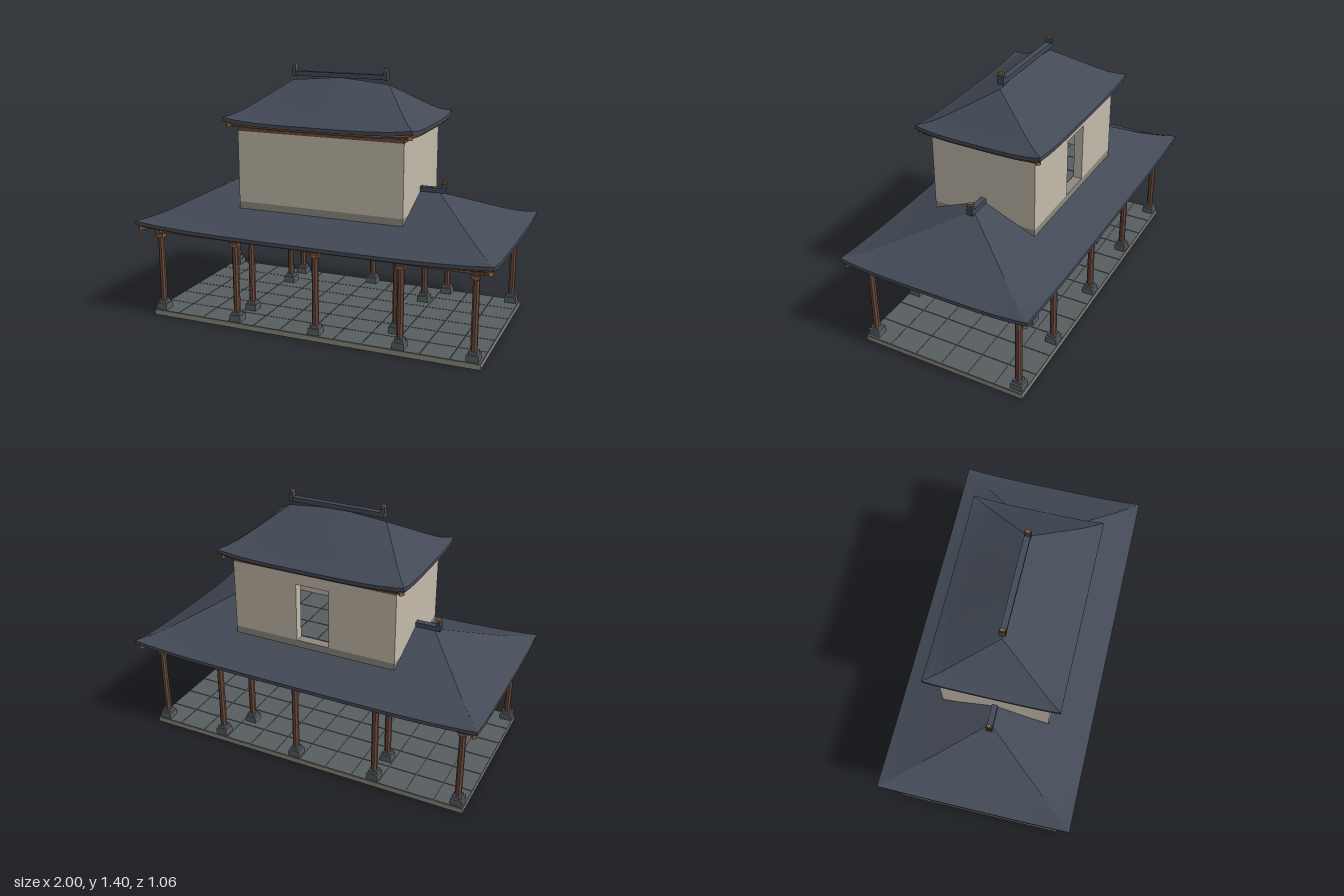
import * as THREE from 'three';

const mat = (name, color, side = THREE.FrontSide) => {
  const m = new THREE.MeshStandardMaterial({ color, side, flatShading: true });
  m.name = name;
  return m;
};

export function createModel() {
  const roofMat = mat('slateRoof', 0x434a56, THREE.DoubleSide);
  const wood = mat('redWood', 0x6b4a3d, THREE.DoubleSide);
  const gold = mat('ochreTrim', 0x8a6234, THREE.DoubleSide);
  const plaster = mat('plaster', 0xc4bbab);
  const stone = mat('paleStone', 0x8c8a80);
  const tile = mat('floorTile', 0x585f61);
  const footing = mat('footingStone', 0x5a6064);

  const model = new THREE.Group();
  model.name = 'pavilion';
  const group = (name) => {
    const g = new THREE.Group();
    g.name = name;
    model.add(g);
    return g;
  };
  const add = (parent, name, geo, material) => {
    const m = new THREE.Mesh(geo, material);
    m.name = name;
    parent.add(m);
    return m;
  };
  // Box given by its min and max on each axis
  const box = (parent, name, material, x0, x1, y0, y1, z0, z1) => {
    const m = add(parent, name, new THREE.BoxGeometry(x1 - x0, y1 - y0, z1 - z0), material);
    m.position.set((x0 + x1) / 2, (y0 + y1) / 2, (z0 + z1) / 2);
    return m;
  };
  // Four beams around a rectangle
  const frame = (parent, name, material, hx, hz, w, y0, y1, over) => {
    for (const s of [-1, 1]) {
      box(parent, name, material, -hx - over, hx + over, y0, y1, s * hz - w, s * hz + w);
      box(parent, name, material, s * hx - w, s * hx + w, y0, y1, -hz - over, hz + over);
    }
  };
  // Surface from a rule fn(u, v) -> [x, y, z], u and v from 0 to 1
  const patch = (fn, nu, nv) => {
    const pos = [], idx = [];
    for (let j = 0; j <= nv; j++) for (let i = 0; i <= nu; i++) pos.push(...fn(i / nu, j / nv));
    for (let j = 0; j < nv; j++) for (let i = 0; i < nu; i++) {
      const a = j * (nu + 1) + i, b = a + 1, c = a + nu + 1, d = c + 1;
      idx.push(a, b, d, a, d, c);
    }
    const g = new THREE.BufferGeometry();
    g.setAttribute('position', new THREE.Float32BufferAttribute(pos, 3));
    g.setIndex(idx);
    const flat = g.toNonIndexed();
    flat.computeVertexNormals();
    return flat;
  };

  // Paved terrace
  const terrace = group('terrace');
  box(terrace, 'terraceSlab', stone, -0.94, 0.94, 0, 0.027, -0.47, 0.47);
  const paving = (parent, hx, hz, nx, nz, y) => {
    const w = 2 * hx / nx, d = 2 * hz / nz, gap = 0.002;
    for (let i = 0; i < nx; i++) for (let j = 0; j < nz; j++) {
      const x = -hx + i * w, z = -hz + j * d;
      box(parent, 'floorTile', tile, x + gap, x + w - gap, y, y + 0.004, z + gap, z + d - gap);
    }
  };
  paving(terrace, 0.94, 0.47, 12, 6, 0.027);

  // Columns on two-step footings
  const column = (x, z, top) => {
    const g = group('column');
    box(g, 'footing', footing, -0.032, 0.032, 0.03, 0.066, -0.032, 0.032);
    box(g, 'footingStep', footing, -0.023, 0.023, 0.066, 0.084, -0.023, 0.023);
    const shaft = add(g, 'shaft', new THREE.CylinderGeometry(0.0175, 0.0185, top - 0.08, 8), wood);
    shaft.rotation.y = Math.PI / 8;
    shaft.position.y = (top + 0.08) / 2;
    box(g, 'capital', wood, -0.024, 0.024, top - 0.014, top, -0.024, 0.024);
    box(g, 'capitalTrim', gold, -0.02, 0.02, top - 0.026, top - 0.014, -0.02, 0.02);
    g.position.set(x, 0, z);
  };
  for (const s of [-1, 1]) {
    for (const x of [-0.9, -0.43, 0.04, 0.51, 0.895]) column(x, s * 0.43, 0.482);
    for (const x of [-0.43, 0.425]) column(x, s * 0.25, 0.625);
  }
  frame(group('lowerBeams'), 'beam', wood, 0.9, 0.43, 0.015, 0.482, 0.5, 0.035);

  // Upper room: plinth, paved floor, walls with a doorway at the back
  const room = group('upperRoom');
  box(room, 'plinth', stone, -0.47, 0.47, 0.625, 0.67, -0.295, 0.295);
  paving(room, 0.42, 0.245, 6, 3, 0.67);
  const y0 = 0.67, y1 = 1.06, t = 0.05;
  box(room, 'frontWall', plaster, -0.47, 0.47, y0, y1, 0.295 - t, 0.295);
  for (const s of [-1, 1]) {
    box(room, 'sideWall', plaster, s * 0.445 - t / 2, s * 0.445 + t / 2, y0, y1, -0.295 + t, 0.295 - t);
    box(room, 'backWall', plaster, s > 0 ? 0.095 : -0.47, s > 0 ? 0.47 : -0.095, y0, y1, -0.295, -0.295 + t);
  }
  box(room, 'lintel', plaster, -0.095, 0.095, 1.0, y1, -0.295, -0.295 + t);
  frame(room, 'topBeam', wood, 0.455, 0.28, 0.015, 1.06, 1.08, 0.015);

  // Hip roof with lifted corners; an optional opening is left for the room
  const hipRoof = (name, o) => {
    const g = group(name);
    const hx = (v) => o.x + (o.ridge - o.x) * v;
    const hz = (v) => o.z * (1 - v);
    const height = (v, c) => {
      let k = 1;
      while (k < o.profile.length - 1 && v > o.profile[k][0]) k++;
      const [a, ya] = o.profile[k - 1], [b, yb] = o.profile[k];
      const lift = o.lift * Math.pow(Math.abs(c), 4) * Math.pow(Math.max(0, 1 - v / 0.4), 2);
      return ya + (yb - ya) * (v - a) / (b - a) + lift;
    };
    const point = (side, s, c, v, drop) => side === 'long'
      ? [c * hx(v), height(v, c) + o.crown * v * (1 - Math.abs(c)) - drop, s * hz(v)]
      : [s * hx(v), height(v, c) - drop, c * hz(v)];
    const surface = (part, material, from, drop) => {
      const vHole = o.hole ? 1 - o.hole.z / o.z : 1;
      for (const s of [-1, 1]) {
        add(g, part, patch((u, v) => point('long', s, 2 * u - 1, from + (vHole - from) * v, drop), 16, 8), material);
        add(g, part, patch((u, v) => point('short', s, 2 * u - 1, from + (1 - from) * v, drop), 12, 10), material);
        if (o.hole) for (const e of [-1, 1]) add(g, part, patch((u, w) => {
          const v = vHole + (1 - vHole) * w;
          return [e * (o.hole.x + (hx(v) - o.hole.x) * u), height(v, 0) - drop, s * hz(v)];
        }, 3, 5), material);
      }
    };
    // Strip around the eave from (va, da) to (vb, db)
    const strip = (part, material, va, da, vb, db) => {
      for (const s of [-1, 1]) for (const side of ['long', 'short'])
        add(g, part, patch((u, v) => point(side, s, 2 * u - 1, va + (vb - va) * v, da + (db - da) * v), 16, 1), material);
    };
    surface('roofSlope', roofMat, 0, 0);
    surface('roofLining', wood, 0.025, 0.032);
    strip('eaveEdge', roofMat, 0, 0, 0, 0.02);
    strip('eaveUnderside', roofMat, 0, 0.02, 0.025, 0.02);
    strip('eaveTrim', gold, 0.025, 0.02, 0.025, 0.032);
    strip('eaveBoard', wood, o.board, 0.03, o.board, 0.048);
    strip('eaveBoardUnderside', wood, o.board, 0.048, o.board + 0.05, 0.048);
    strip('eaveBoardInner', wood, o.board + 0.05, 0.048, o.board + 0.05, 0.03);
    // Rafter ends under the corners
    for (const sx of [-1, 1]) for (const sz of [-1, 1]) {
      const r = add(g, 'cornerRafter', new THREE.BoxGeometry(0.09, 0.018, 0.022), wood);
      r.position.set(sx * (o.x - 0.055), height(0, 1) - 0.042, sz * (o.z - 0.055));
      r.rotation.y = -sx * sz * Math.PI / 4;
      const tip = add(g, 'rafterTip', new THREE.BoxGeometry(0.012, 0.02, 0.024), gold);
      tip.position.set(sx * (o.x - 0.02), height(0, 1) - 0.042, sz * (o.z - 0.02));
      tip.rotation.y = r.rotation.y;
    }
  };
  hipRoof('lowerRoof', {
    x: 1, z: 0.53, ridge: 0.57, crown: 0, lift: 0.024, board: 0.07, hole: { x: 0.47, z: 0.295 },
    profile: [[0, 0.535], [0.12, 0.558], [0.44, 0.63], [1, 0.755]],
  });
  hipRoof('upperRoof', {
    x: 0.53, z: 0.353, ridge: 0.28, crown: 0.025, lift: 0.022, board: 0.07,
    profile: [[0, 1.116], [0.18, 1.146], [0.5, 1.21], [1, 1.31]],
  });

  // Ridge bars with capped ends
  const ridges = group('ridges');
  box(ridges, 'upperRidge', roofMat, -0.275, 0.275, 1.335, 1.36, -0.016, 0.016);
  for (const s of [-1, 1]) {
    const bar = box(ridges, 'lowerRidge', roofMat, 0.46, 0.61, 0.752, 0.778, -0.016, 0.016);
    bar.position.x *= s;
    for (const [x, y] of [[0.265, 1.332], [0.598, 0.752]]) {
      box(ridges, 'ridgeEnd', roofMat, s * x - 0.01, s * x + 0.01, y, y + 0.05, -0.018, 0.018);
      box(ridges, 'ridgeFinial', gold, s * x - 0.008, s * x + 0.008, y + 0.05, y + 0.065, -0.013, 0.013);
    }
  }
  return model;
}
